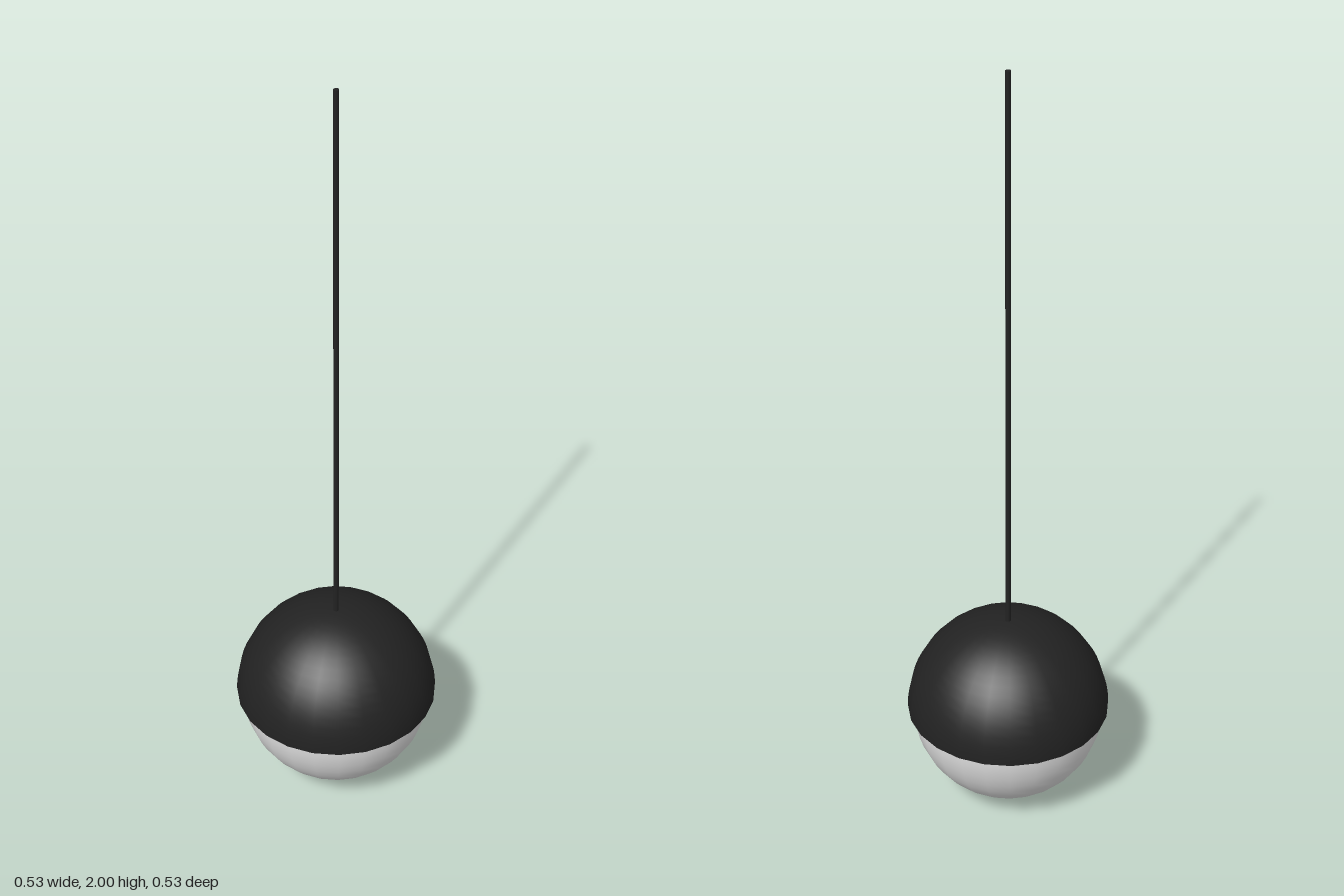
import * as THREE from 'three';

const CENTER_Y = 0.252;
const GLOBE_R = 0.252;
const DOME_R = 0.266;
const SEGMENTS = 24;

const material = (name, color, side = THREE.FrontSide) => {
  const m = new THREE.MeshStandardMaterial({ color, side });
  m.name = name;
  return m;
};

export function createModel() {
  const group = new THREE.Group();
  group.name = 'pendantLamp';
  const black = material('matteBlack', 0x222222, THREE.DoubleSide);
  const white = material('opalGlass', 0xdedede);

  const add = (name, geometry, mat, y) => {
    const mesh = new THREE.Mesh(geometry, mat);
    mesh.name = name;
    mesh.position.y = y;
    group.add(mesh);
  };

  // Glass globe
  add('globe', new THREE.SphereGeometry(GLOBE_R, SEGMENTS, 24), white, CENTER_Y);

  // Half-sphere cap over the globe
  add('shade', new THREE.SphereGeometry(DOME_R, SEGMENTS, 16, 0, Math.PI * 2, 0, Math.PI / 2), black, CENTER_Y);

  // Flat rim closing the gap between cap and globe
  const rim = new THREE.RingGeometry(GLOBE_R - 0.004, DOME_R, SEGMENTS);
  rim.rotateX(Math.PI / 2);
  add('shadeRim', rim, black, CENTER_Y);

  // Hanging cord
  const cordBottom = CENTER_Y + DOME_R - 0.01;
  const cordLength = 2 - cordBottom;
  add('cord', new THREE.CylinderGeometry(0.007, 0.007, cordLength, 12), black, cordBottom + cordLength / 2);

  return group;
}
